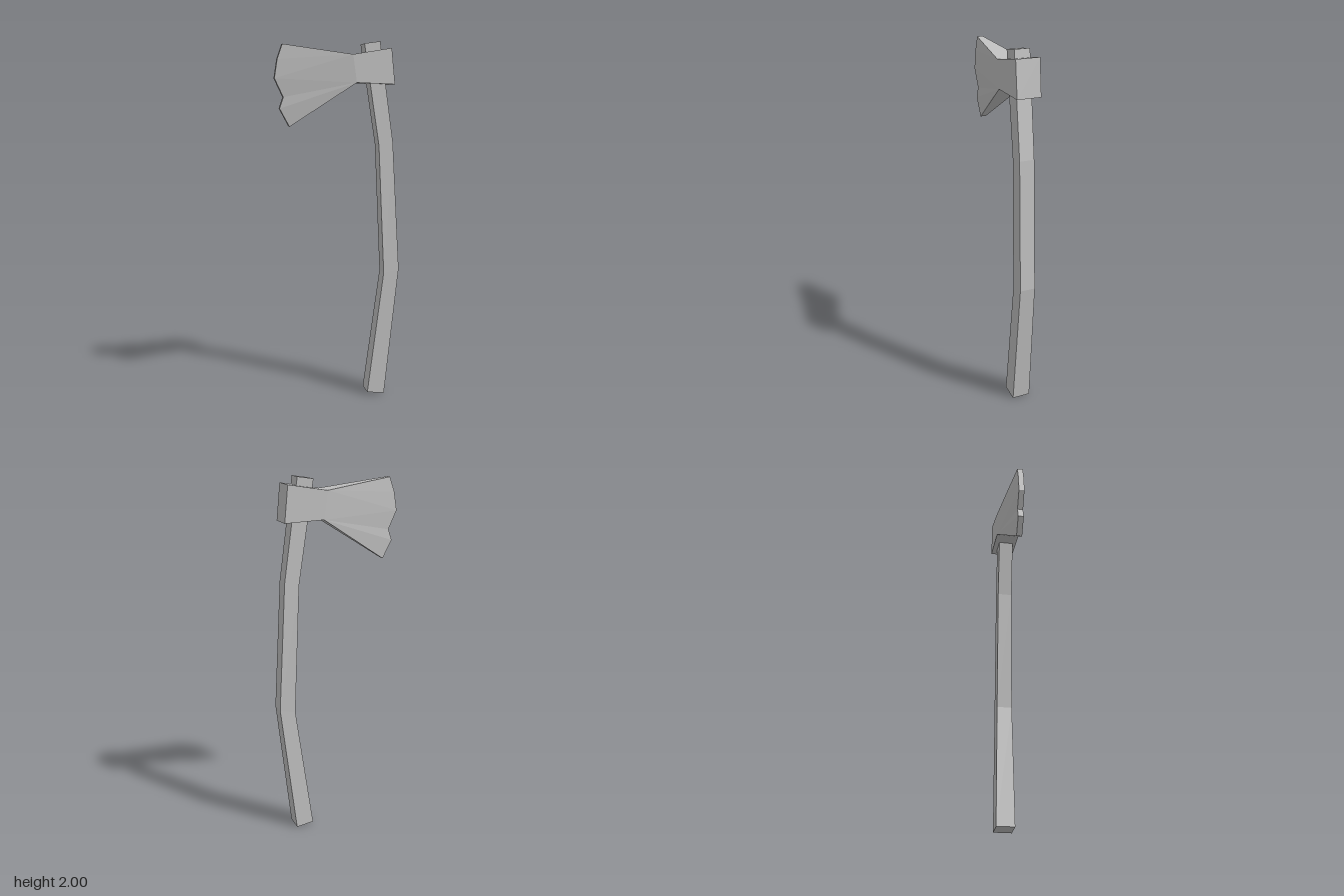
import * as THREE from 'three';

const grey = new THREE.MeshStandardMaterial({ color: 0xc0c0c0 });
grey.name = 'grey';

// Flat-faceted mesh from polygons (convex, counter-clockwise from outside)
function facetedMesh(name, polygons) {
  const positions = [];
  for (const p of polygons) {
    for (let i = 1; i < p.length - 1; i++) positions.push(...p[0], ...p[i], ...p[i + 1]);
  }
  const geometry = new THREE.BufferGeometry();
  geometry.setAttribute('position', new THREE.Float32BufferAttribute(positions, 3));
  geometry.computeVertexNormals();
  const mesh = new THREE.Mesh(geometry, grey);
  mesh.name = name;
  return mesh;
}

// Bent square shaft that passes through the head and pokes out on top
function createHandle() {
  // left x, left y, right x, right y, back z, front z
  const sections = [
    [0.165, 0.014, 0.264, 0, -0.048, 0.055],
    [0.257, 0.715, 0.345, 0.737, -0.032, 0.054],
    [0.225, 1.437, 0.305, 1.452, -0.036, 0.046],
    [0.14, 1.987, 0.228, 2, -0.042, 0.043],
  ];
  const rings = sections.map(([lx, ly, rx, ry, back, front]) => [
    [lx, ly, front], [rx, ry, front], [rx, ry, back], [lx, ly, back],
  ]);
  const polygons = [[...rings[0]].reverse(), rings[rings.length - 1]];
  for (let i = 0; i < rings.length - 1; i++) {
    for (let k = 0; k < 4; k++) {
      const n = (k + 1) % 4;
      polygons.push([rings[i][k], rings[i][n], rings[i + 1][n], rings[i + 1][k]]);
    }
  }
  return facetedMesh('handle', polygons);
}

// Thick socket block flaring and thinning into a chipped blade
function createHead() {
  const thick = 0.066, thin = 0.016, zMid = -0.002;
  // x, y, half thickness
  const outline = [
    [0.288, 1.964, thick], [0.072, 1.928, thick], // socket top
    [-0.305, 1.98, thin], [-0.333, 1.9, thin], [-0.349, 1.8, thin], // cutting edge
    [-0.302, 1.7, thin], [-0.323, 1.64, thin], [-0.27, 1.542, thin], // chip and heel
    [0.093, 1.778, thick], [0.308, 1.77, thick], // socket bottom
  ];
  const front = outline.map(([x, y, h]) => [x, y, zMid + h]);
  const back = outline.map(([x, y, h]) => [x, y, zMid - h]);
  const cheeks = [[0, 1, 8, 9], [1, 2, 3], [1, 3, 4], [1, 4, 8], [8, 4, 5], [8, 5, 6], [8, 6, 7]];
  const polygons = [];
  for (const c of cheeks) {
    polygons.push(c.map(i => front[i]), [...c].reverse().map(i => back[i]));
  }
  outline.forEach((_, i) => {
    const j = (i + 1) % outline.length;
    polygons.push([front[i], back[i], back[j], front[j]]);
  });
  return facetedMesh('axeHead', polygons);
}

export function createModel() {
  const group = new THREE.Group();
  group.name = 'axe';
  group.add(createHandle(), createHead());
  return group;
}
